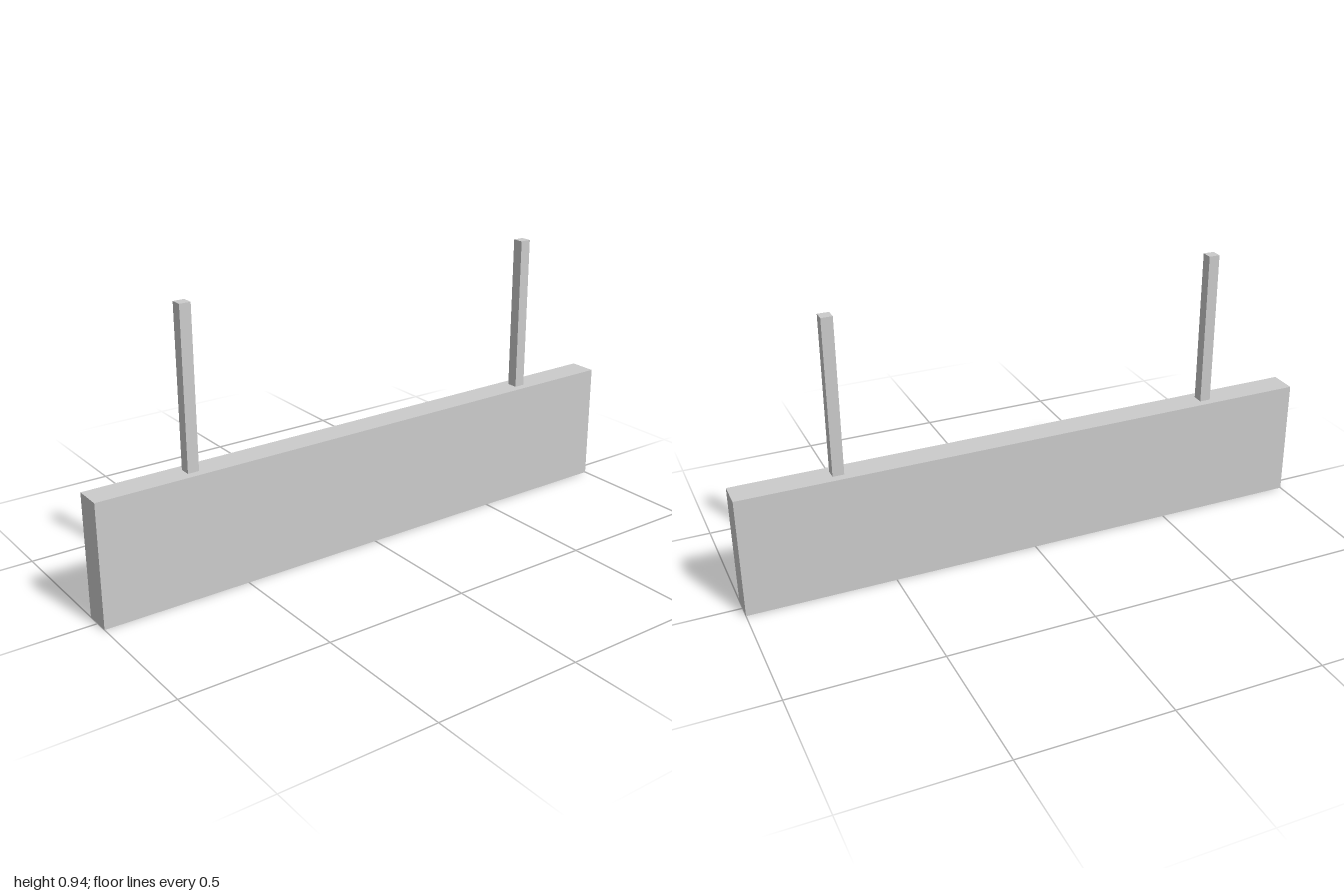
import * as THREE from 'three';

const BOARD = { width: 2, height: 0.413, depth: 0.094 };
const POST = { side: 0.038, height: 0.53, x: 0.663 };

export function createModel() {
  const model = new THREE.Group();
  model.name = 'hangingSign';
  const material = new THREE.MeshStandardMaterial({ color: 0xcccccc, flatShading: true });

  // Adds a box whose underside sits at the given height
  const addBox = (name, width, height, depth, x, bottom) => {
    const mesh = new THREE.Mesh(new THREE.BoxGeometry(width, height, depth), material);
    mesh.name = name;
    mesh.position.set(x, bottom + height / 2, 0);
    model.add(mesh);
  };

  // Sign board
  addBox('signBoard', BOARD.width, BOARD.height, BOARD.depth, 0, 0);

  // Two square hanger posts standing on the board's top edge
  for (const [name, side] of [['leftPost', 1], ['rightPost', -1]]) {
    addBox(name, POST.side, POST.height, POST.side, side * POST.x, BOARD.height);
  }

  return model;
}
